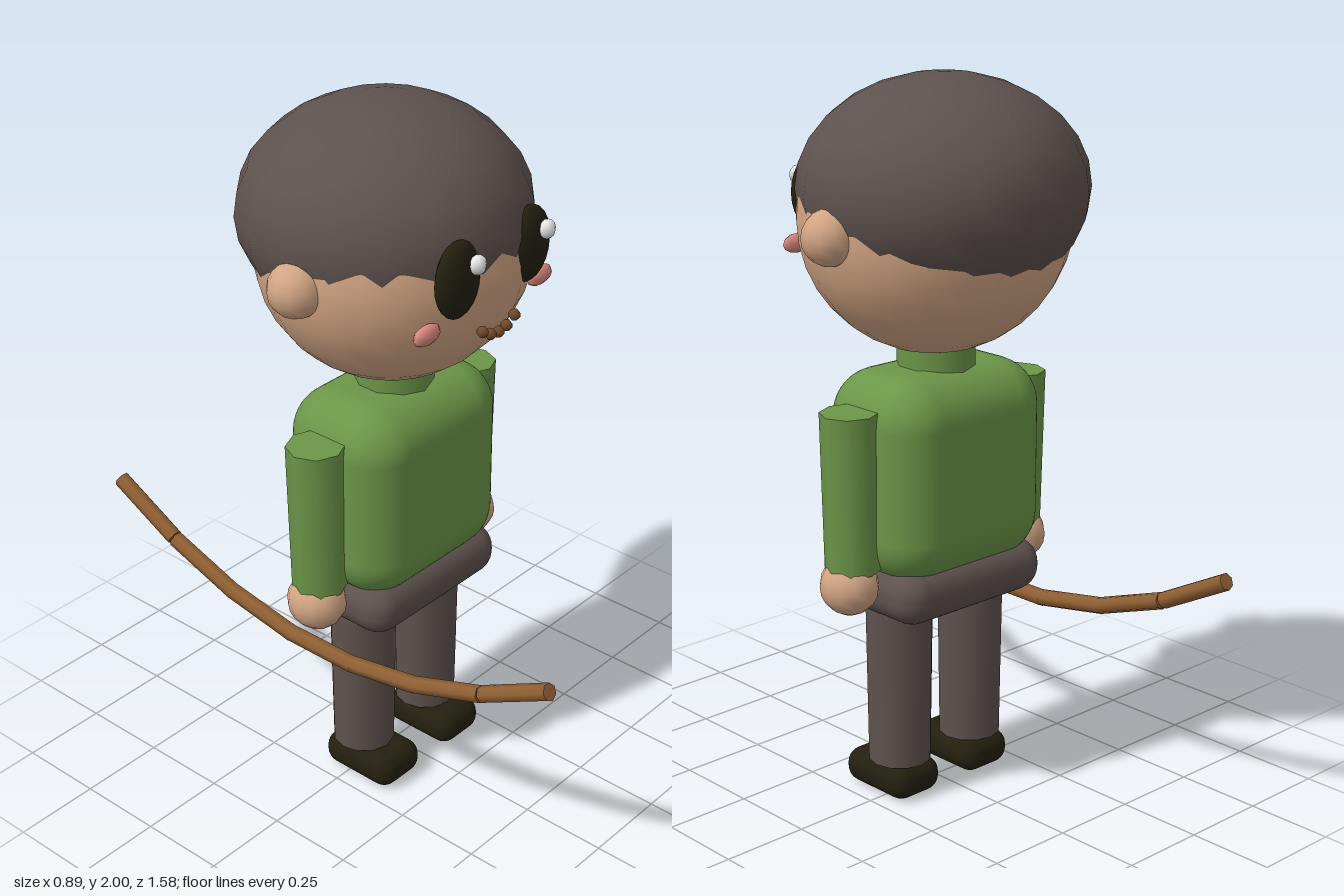
import * as THREE from 'three';
import { RoundedBoxGeometry } from 'three/addons/geometries/RoundedBoxGeometry.js';

const flat = (name, color) => {
  const m = new THREE.MeshStandardMaterial({ color });
  m.name = name;
  return m;
};

export function createModel() {
  const group = new THREE.Group();
  const skin = flat('skin', 0xd2a584);
  const green = flat('shirt green', 0x6b9648);
  const grey = flat('warm grey', 0x5e524e);
  const dark = flat('dark olive', 0x232010);
  const pink = flat('blush pink', 0xd98880);
  const wood = flat('wood', 0x8f5f33);
  const lip = flat('mouth brown', 0x744a28);
  const white = flat('white', 0xf0f0f0);

  const add = (name, geometry, material, x, y, z) => {
    const mesh = new THREE.Mesh(geometry, material);
    mesh.name = name;
    mesh.position.set(x, y, z);
    group.add(mesh);
    return mesh;
  };
  const ball = (name, material, pos, size, w = 18, h = 14) =>
    add(name, new THREE.SphereGeometry(1, w, h).scale(...size), material, ...pos);

  // Head and the hair shell sitting up and back on it
  ball('head', skin, [0, 1.625, 0], [0.38, 0.37, 0.36], 24, 18);
  ball('hair', grey, [0, 1.7, -0.03], [0.39, 0.302, 0.392], 18, 14);

  // Mouth: a smile made of small beads
  for (let i = -2; i <= 2; i++) {
    ball('mouthBead', lip, [i * 0.032, 1.47 + 0.006 * i * i, 0.35], [0.016, 0.016, 0.016], 6, 5);
  }

  // Torso, neck and hips
  add('neck', new THREE.CylinderGeometry(0.108, 0.108, 0.14, 10), green, 0, 1.23, 0);
  add('torso', new RoundedBoxGeometry(0.55, 0.57, 0.38, 5, 0.13), green, 0, 0.935, 0);
  add('hips', new RoundedBoxGeometry(0.52, 0.15, 0.36, 4, 0.07), grey, 0, 0.623, 0);

  // Mirrored parts
  for (const s of [-1, 1]) {
    const side = s > 0 ? 'left' : 'right';
    ball(side + 'Ear', skin, [s * 0.37, 1.613, 0], [0.075, 0.075, 0.075], 12, 10);
    ball(side + 'Eye', dark, [s * 0.14, 1.66, 0.328], [0.078, 0.105, 0.037], 16, 12);
    ball(side + 'Cheek', pink, [s * 0.225, 1.532, 0.303], [0.05, 0.027, 0.02], 8, 6);
    ball(side + 'EyeGlint', white, [s * 0.138 + 0.028, 1.702, 0.367], [0.026, 0.026, 0.022], 7, 6);

    const arm = add(side + 'Arm', new THREE.CylinderGeometry(0.08, 0.075, 0.44, 8), green, s * 0.308, 0.92, 0);
    arm.rotation.z = s * -0.015;
    ball(side + 'Hand', skin, [s * 0.318, 0.658, 0], [0.078, 0.08, 0.085], 12, 10);

    add(side + 'Leg', new THREE.CylinderGeometry(0.095, 0.088, 0.5, 12), grey, s * 0.135, 0.35, 0.003);
    add(side + 'Shoe', new RoundedBoxGeometry(0.168, 0.1, 0.245, 4, 0.045), dark, s * 0.133, 0.05, 0.035);
  }

  // Bow beside the right hand: seven sticks laid along a parabola
  const curve = 0.39;
  for (let i = -3; i <= 3; i++) {
    const z = i * 0.225;
    const stick = add('bowStick', new THREE.CylinderGeometry(0.024, 0.024, 0.24, 7), wood,
      -0.305, 0.49 + curve * z * z, z);
    stick.rotation.x = Math.PI / 2 - Math.atan(2 * curve * z);
  }
  return group;
}
